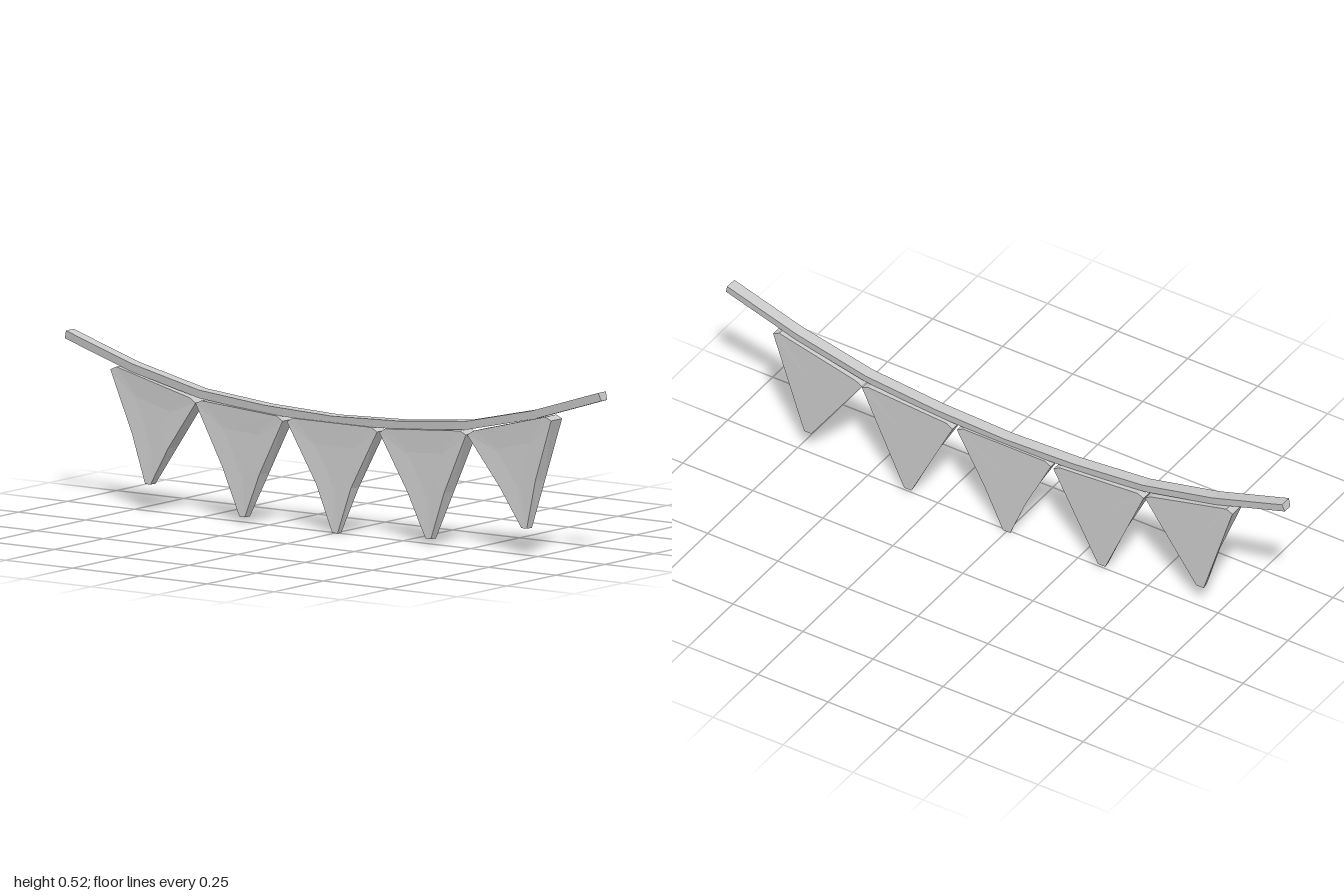
import * as THREE from 'three';

const material = new THREE.MeshStandardMaterial({ color: 0xcccccc, flatShading: true });

// Skins matching loops of points; loops run counter-clockwise seen from the end they advance toward.
function skin(name, rings) {
  const n = rings[0].length, pos = [], idx = [];
  rings.forEach(r => r.forEach(p => pos.push(...p)));
  for (let r = 0; r < rings.length - 1; r++) {
    for (let i = 0; i < n; i++) {
      const a = r * n + i, b = r * n + (i + 1) % n;
      idx.push(a, b, b + n, a, b + n, a + n);
    }
  }
  // Close both ends with fans around their middle
  [0, rings.length - 1].forEach((r, end) => {
    const c = pos.length / 3;
    pos.push(...[0, 1, 2].map(k => rings[r].reduce((s, p) => s + p[k], 0) / n));
    for (let i = 0; i < n; i++) {
      const a = r * n + i, b = r * n + (i + 1) % n;
      idx.push(...(end ? [c, a, b] : [c, b, a]));
    }
  });
  const g = new THREE.BufferGeometry();
  g.setAttribute('position', new THREE.Float32BufferAttribute(pos, 3));
  g.setIndex(idx);
  const flat = g.toNonIndexed();
  flat.computeVertexNormals();
  const mesh = new THREE.Mesh(flat, material);
  mesh.name = name;
  return mesh;
}

// Sagging cord, wider on top than underneath
function makeCord() {
  const heights = [0.345, 0.354, 0.377, 0.433, 0.511];
  const path = [];
  for (let i = -4; i <= 4; i++) path.push(new THREE.Vector2(i * 0.2485, heights[Math.abs(i)]));
  const rings = path.map((p, i) => {
    const t = path[Math.min(i + 1, 8)].clone().sub(path[Math.max(i - 1, 0)]).normalize();
    const at = (h, z) => [p.x - t.y * h, p.y + t.x * h, z];
    return [at(0.013, 0.021), at(-0.013, 0.016), at(-0.013, -0.014), at(0.013, -0.018)];
  });
  return skin('cord', rings);
}

// Tapered pennant with clipped top corners, a blunt tip and a shallow dished front
function makePennant({ l, r, tip, depth, waist, tipDepth }) {
  const dir = Math.sign(r[1] - l[1]);
  const top = Math.max(l[1], r[1]);
  const outline = inset => {
    const mid = (c, s) => [
      THREE.MathUtils.lerp(c[0], tip[0] + s * 0.013, 0.56) - s * (waist + inset),
      THREE.MathUtils.lerp(c[1], tip[1], 0.56)];
    const w = 0.013 - inset * 0.3;
    return [
      [l[0] + 0.022, l[1] + 0.012 + dir * 0.002], l, mid(l, -1),
      [tip[0] - w, tip[1]], [tip[0] + w, tip[1]],
      mid(r, 1), r, [r[0] - 0.022, r[1] + 0.012 - dir * 0.002]];
  };
  const zAt = y => THREE.MathUtils.lerp(tipDepth, depth,
    THREE.MathUtils.clamp((y - tip[1]) / (top - tip[1]), 0, 1));
  const back = outline(0).map(([x, y]) => [x, y, -zAt(y)]);
  const front = outline(0.01).map(([x, y]) => [x, y, zAt(y)]);
  const cx = (l[0] + r[0] + tip[0]) / 3, cy = (l[1] + r[1] + tip[1]) / 3;
  const dish = front.map(([x, y, z]) => [
    THREE.MathUtils.lerp(cx, x, 0.4), THREE.MathUtils.lerp(cy, y, 0.4),
    zAt(THREE.MathUtils.lerp(cy, y, 0.4)) - 0.004]);
  return skin('pennant', [back, front, dish]);
}

export function createModel() {
  const group = new THREE.Group();
  group.name = 'bunting';
  group.add(makeCord());

  const outer = { depth: 0.028, tipDepth: 0.011, waist: 0 };
  const pennants = [
    { ...outer, l: [-0.82, 0.423], r: [-0.505, 0.35], tip: [-0.693, 0.083] },
    { ...outer, l: [-0.503, 0.35], r: [-0.18, 0.326], tip: [-0.342, 0.017] },
    { l: [-0.168, 0.326], r: [0.168, 0.326], tip: [0, 0], depth: 0.022, tipDepth: 0.007, waist: 0.007 },
    { ...outer, l: [0.18, 0.326], r: [0.503, 0.35], tip: [0.35, 0.017] },
    { ...outer, l: [0.505, 0.35], r: [0.82, 0.423], tip: [0.707, 0.083] },
  ];
  pennants.forEach((p, i) => {
    const mesh = makePennant(p);
    mesh.name = 'pennant' + (i + 1);
    group.add(mesh);
  });
  return group;
}
